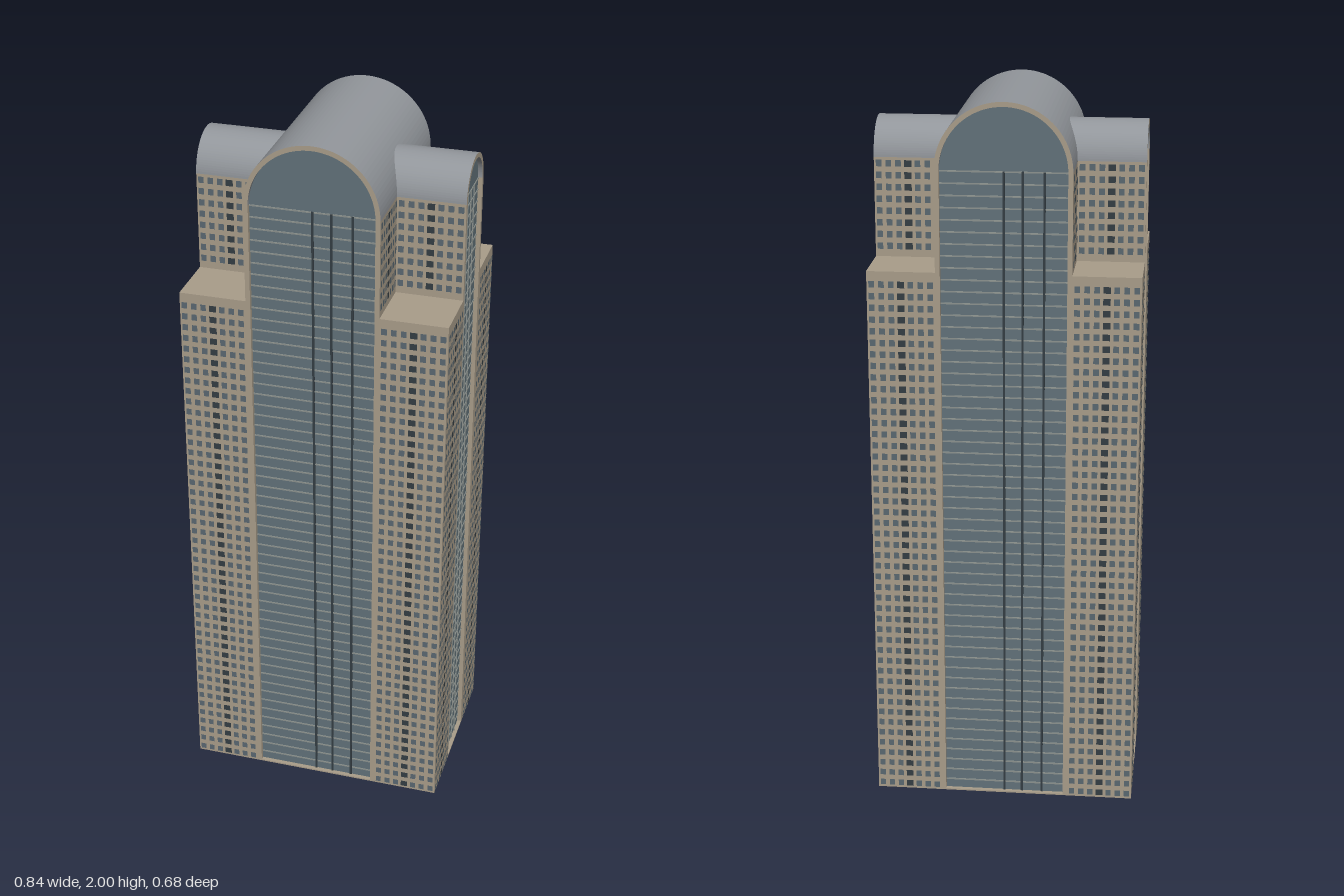
import * as THREE from 'three';
import { mergeGeometries } from 'three/addons/utils/BufferGeometryUtils.js';

const HX = 0.366, HZ = 0.26;          // half width and half depth of the plan
const SHOULDER = 1.545, SPRING = 1.818; // corner roofs and vault spring line
const R_MAIN = 0.182, R_SIDE = 0.098; // vault radii
const FRAME = 0.013, RECESS = 0.012;
const FLOORS = 56, PITCH = SPRING / FLOORS;

function mat(name, color) {
  const m = new THREE.MeshStandardMaterial({ color });
  m.name = name;
  return m;
}

export function createModel() {
  const stone = mat('tan stone', 0xa99d8a);
  const roof = mat('grey roof', 0x92969b);
  const glass = mat('blue grey glass', 0x62727a);
  const pane = mat('window pane', 0x5a6871);
  const dark = mat('dark slot', 0x343d43);
  const spandrel = mat('pale spandrel', 0x8d938f);

  const model = new THREE.Group();
  model.name = 'tower';
  const plan = new THREE.Group();
  plan.name = 'turnedPlan';
  plan.rotation.y = 0.247;
  model.add(plan);

  function add(parent, name, geometry, material) {
    const m = new THREE.Mesh(geometry, material);
    m.name = name;
    parent.add(m);
    return m;
  }
  const box = (w, h, d, x, y, z) => new THREE.BoxGeometry(w, h, d).translate(x, y, z);

  // Ground slab and four corner blocks
  add(plan, 'groundSlab', box(HX * 2, 0.004, HZ * 2, 0, 0.002, 0), stone);
  for (const sx of [-1, 1]) for (const sz of [-1, 1]) {
    add(plan, 'cornerBlock', box(HX - R_MAIN, SHOULDER, HZ - R_SIDE,
      sx * (HX + R_MAIN) / 2, SHOULDER / 2, sz * (HZ + R_SIDE) / 2), stone);
  }

  // Vaulted wing along z: glazed core, stone jambs, roof shell, curtain wall
  function wing(name, r, half, slots, mullions) {
    const g = new THREE.Group();
    g.name = name;
    const ri = r - FRAME;

    const core = new THREE.Shape();
    core.moveTo(-ri, 0.003);
    core.lineTo(ri, 0.003);
    core.lineTo(ri, SPRING);
    core.absarc(0, SPRING, ri, 0, Math.PI, false);
    core.lineTo(-ri, 0.003);
    const coreDepth = 2 * (half - RECESS);
    add(g, 'glazedCore', new THREE.ExtrudeGeometry(core,
      { depth: coreDepth, bevelEnabled: false, curveSegments: 24 }).translate(0, 0, -coreDepth / 2), glass);

    const shell = new THREE.Shape();
    shell.absarc(0, SPRING, r, 0, Math.PI, false);
    shell.absarc(0, SPRING, ri, Math.PI, 0, true);
    add(g, 'vaultRoof', new THREE.ExtrudeGeometry(shell,
      { depth: half * 2, bevelEnabled: false, curveSegments: 24 }).translate(0, 0, -half), [stone, roof]);

    for (const s of [-1, 1]) {
      add(g, 'jamb', box(FRAME, SPRING, half * 2, s * (r - FRAME / 2), SPRING / 2, 0), stone);
    }

    // Glass details, repeated by a half turn
    for (const turn of [0, Math.PI]) {
      const face = new THREE.Group();
      face.name = 'curtainWall';
      face.rotation.y = turn;
      const z = half - RECESS;
      const bands = [];
      for (let i = 1; i <= FLOORS; i++) bands.push(box(ri * 2, 0.004, 0.004, 0, i * PITCH - 0.002, z));
      add(face, 'floorBands', mergeGeometries(bands), spandrel);
      for (const x of slots) add(face, 'darkSlot', box(0.006, SPRING, 0.006, x, SPRING / 2, z), dark);
      for (const x of mullions) add(face, 'mullion', box(0.003, SPRING, 0.006, x, SPRING / 2, z), spandrel);
      g.add(face);
    }
    plan.add(g);
    return g;
  }
  wing('mainVault', R_MAIN, HZ, [0, 0.05, 0.107], []);
  wing('sideVault', R_SIDE, HX, [], [-0.035, 0, 0.035]).rotation.y = Math.PI / 2;

  // Windows on the corner blocks and on the set-back walls above them
  const panes = [], darkPanes = [];
  function windowField(turn, dist, u0, u1, row0, row1) {
    const cols = 7, step = (u1 - u0) / cols;
    for (const s of [-1, 1]) for (let c = 0; c < cols; c++) for (let r = row0; r < row1; r++) {
      const middle = c === 3;
      const w = step * (middle ? 0.75 : 0.58);
      (middle ? darkPanes : panes).push(new THREE.PlaneGeometry(w, PITCH * 0.55)
        .translate(s * (u0 + (c + 0.5) * step), (r + 0.5) * PITCH, dist + 0.0015)
        .rotateY(turn));
    }
  }
  const split = Math.floor(SHOULDER / PITCH);
  for (let k = 0; k < 4; k++) {
    const turn = k * Math.PI / 2;
    const [low, high, u0, u1] = k % 2 ? [HX, R_MAIN, R_SIDE, HZ] : [HZ, R_SIDE, R_MAIN, HX];
    windowField(turn, low, u0, u1, 0, split);
    windowField(turn, high, u0, u1, split + 1, FLOORS);
  }
  add(plan, 'windows', mergeGeometries(panes), pane);
  add(plan, 'deepWindows', mergeGeometries(darkPanes), dark);

  return model;
}
